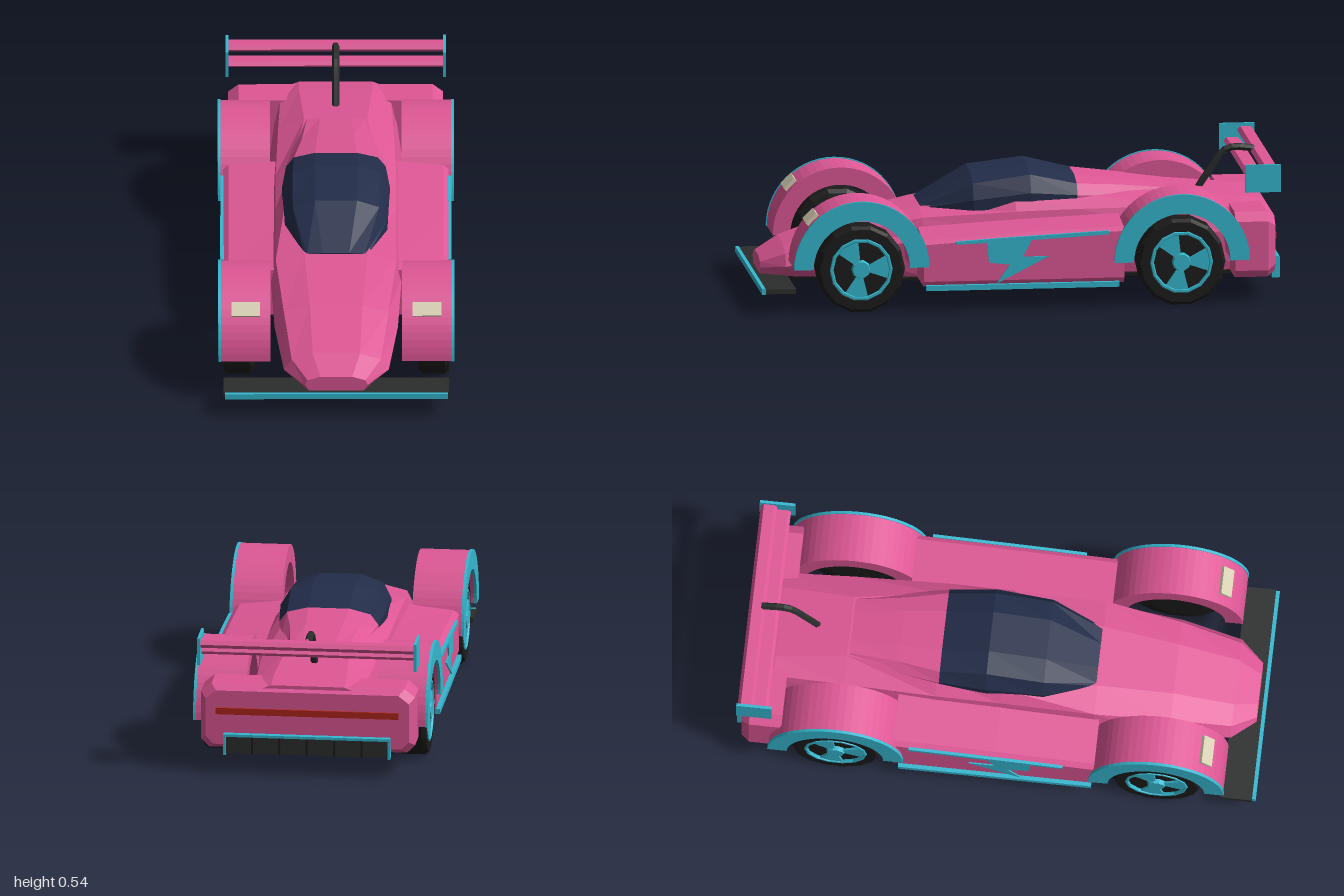
import * as THREE from 'three';

const mat = (name, color) => {
  const m = new THREE.MeshStandardMaterial({ color, flatShading: true });
  m.name = name;
  return m;
};

export function createModel() {
  const pink = mat('pink paint', 0xde5795);
  const teal = mat('teal trim', 0x35b8d0);
  const navy = mat('canopy navy', 0x232d49);
  const black = mat('tyre black', 0x1b1b1b);
  const dark = mat('carbon grey', 0x2b2d2d);
  const cream = mat('headlight cream', 0xd9d1b5);
  const red = mat('tail light red', 0xb0261a);

  const car = new THREE.Group();
  car.name = 'raceCar';
  const add = (name, geometry, material, parent = car) => {
    const mesh = new THREE.Mesh(geometry, material);
    mesh.name = name;
    parent.add(mesh);
    return mesh;
  };

  // Box given by its limits on each axis
  const box = (x0, x1, y0, y1, z0, z1) =>
    new THREE.BoxGeometry(x1 - x0, y1 - y0, z1 - z0)
      .translate((x0 + x1) / 2, (y0 + y1) / 2, (z0 + z1) / 2);

  // Skin over closed rings of [x, y, z], counter-clockwise from the front, ordered front to back
  const loft = (rings) => {
    const pos = [], n = rings[0].length, last = rings[rings.length - 1];
    const tri = (a, b, c) => pos.push(...a, ...b, ...c);
    for (let i = 0; i + 1 < rings.length; i++) {
      for (let j = 0; j < n; j++) {
        const k = (j + 1) % n;
        const a = rings[i][j], b = rings[i][k], c = rings[i + 1][j], d = rings[i + 1][k];
        tri(a, c, b);
        tri(b, c, d);
      }
    }
    for (let j = 1; j + 1 < n; j++) {
      tri(rings[0][0], rings[0][j], rings[0][j + 1]);
      tri(last[0], last[j + 1], last[j]);
    }
    const g = new THREE.BufferGeometry();
    g.setAttribute('position', new THREE.Float32BufferAttribute(pos, 3));
    g.computeVertexNormals();
    return g;
  };
  const flip = (ring) => ring.map(([x, y, z]) => [-x, y, z]).reverse();
  // Symmetric ring from its left half, listed bottom to top
  const whole = (z, half) => {
    const left = half.map(([x, y]) => [x, y, z]);
    return left.concat(flip(left));
  };

  // Outline in (-z, y), extruded along x from x0 by width w, on side s
  const extrudeX = (shape, x0, w, s = 1, curveSegments = 14) =>
    new THREE.ExtrudeGeometry(shape, { depth: w, bevelEnabled: false, curveSegments })
      .rotateY(Math.PI / 2).translate(s > 0 ? x0 : -x0 - w, 0, 0);
  const outline = (pts) => new THREE.Shape(pts.map(([z, y]) => new THREE.Vector2(-z, y)));

  // Main body
  add('body', loft([
    whole(0.97, [[0.1, 0.1], [0.12, 0.13], [0.11, 0.15], [0.06, 0.165]]),
    whole(0.88, [[0.15, 0.1], [0.2, 0.145], [0.17, 0.19], [0.09, 0.215]]),
    whole(0.65, [[0.2, 0.1], [0.235, 0.2], [0.2, 0.27], [0.1, 0.295]]),
    whole(0.36, [[0.22, 0.1], [0.25, 0.25], [0.23, 0.33], [0.12, 0.352]]),
    whole(0, [[0.22, 0.1], [0.25, 0.25], [0.23, 0.345], [0.19, 0.395]]),
    whole(-0.25, [[0.22, 0.1], [0.25, 0.25], [0.23, 0.35], [0.17, 0.4]]),
    whole(-0.6, [[0.22, 0.1], [0.25, 0.25], [0.22, 0.35], [0.12, 0.398]]),
    whole(-0.87, [[0.22, 0.1], [0.23, 0.25], [0.21, 0.34], [0.14, 0.37]]),
    whole(-0.96, [[0.22, 0.1], [0.23, 0.25], [0.2, 0.33], [0.14, 0.355]]),
  ]), pink);
  add('floor', loft([[0.95, 0.11], [0.65, 0.21], [0.36, 0.24], [-0.96, 0.24]]
    .map(([z, w]) => whole(z, [[w, 0.088], [w, 0.099]]))), black);

  // Canopy and the fairing behind it
  const canopyBack = whole(-0.24, [[0.19, 0.36], [0.19, 0.395], [0.16, 0.435], [0.08, 0.455]]);
  add('canopy', loft([
    whole(0.355, [[0.12, 0.32], [0.12, 0.345], [0.11, 0.352], [0.05, 0.356]]),
    whole(0.16, [[0.195, 0.34], [0.195, 0.385], [0.165, 0.445], [0.08, 0.475]]),
    whole(-0.06, [[0.205, 0.36], [0.205, 0.41], [0.165, 0.475], [0.08, 0.5]]),
    canopyBack,
  ]), navy);
  add('rearFairing', loft([
    canopyBack,
    whole(-0.4, [[0.165, 0.35], [0.165, 0.385], [0.13, 0.422], [0.07, 0.437]]),
    whole(-0.59, [[0.125, 0.35], [0.125, 0.38], [0.11, 0.402], [0.06, 0.408]]),
  ]), pink);

  // Tail block, light bar and diffuser
  const tailRing = (z, d) => whole(z, [[0.38 - d, 0.1 + d], [0.41 - d, 0.13 + d],
    [0.41 - d, 0.32 - d], [0.37 - d, 0.352 - d]]);
  add('tailBlock', loft([tailRing(-0.82, 0), tailRing(-0.945, 0), tailRing(-0.975, 0.02)]), pink);
  add('tailLight', box(-0.35, 0.35, 0.24, 0.265, -0.983, -0.97), red);
  add('diffuser', box(-0.31, 0.31, 0.088, 0.16, -0.985, -0.96), dark);
  for (let i = -2; i <= 2; i++) {
    add('diffuserFin', box(i * 0.105 - 0.004, i * 0.105 + 0.004, 0.088, 0.158, -0.997, -0.98), black);
  }
  add('diffuserTrim', box(-0.32, 0.32, 0.156, 0.166, -1, -0.97), teal);

  // Front splitter
  add('splitter', box(-0.43, 0.43, 0.086, 0.104, 0.87, 0.986), dark);
  add('splitterTrim', box(-0.425, 0.425, 0.084, 0.106, 0.986, 1), teal);

  // Rear wing and its swan-neck strut
  const blade = (z0, z1, y, t) => outline([[z0, y], [z0 - 0.012, y - t], [z1 + 0.012, y - t],
    [z1, y], [z1 + 0.012, y + t], [z0 - 0.012, y + t]].reverse());
  add('upperWing', extrudeX(blade(-0.925, -0.988, 0.515, 0.015), -0.41, 0.82), pink);
  add('lowerWing', extrudeX(blade(-0.872, -0.94, 0.475, 0.013), -0.41, 0.82), pink);
  const strutPath = new THREE.CatmullRomCurve3([[0.34, -0.7], [0.44, -0.765], [0.52, -0.825],
    [0.532, -0.86], [0.525, -0.94]].map(([y, z]) => new THREE.Vector3(0, y, z)));
  add('wingStrut', new THREE.TubeGeometry(strutPath, 12, 0.014, 6), dark);

  // Arch outline around a wheel
  const arch = (z, R, r) => {
    const s = new THREE.Shape();
    s.absarc(-z, 0.18, R, 0, Math.PI, false);
    s.absarc(-z, 0.18, r, Math.PI, 0, true);
    return s;
  };

  // Wheel facing +x
  const makeWheel = () => {
    const wheel = new THREE.Group();
    wheel.name = 'wheel';
    const profile = [[0, -0.065], [0.1, -0.065], [0.155, -0.055], [0.17, -0.042], [0.17, 0.045],
      [0.158, 0.06], [0.122, 0.06], [0.115, 0.05], [0, 0.05]].map(([r, x]) => new THREE.Vector2(r, x));
    add('tyre', new THREE.LatheGeometry(profile, 14).rotateZ(-Math.PI / 2), black, wheel);
    add('rimRing', new THREE.TorusGeometry(0.114, 0.008, 6, 14).rotateY(Math.PI / 2)
      .translate(0.056, 0, 0), teal, wheel);
    add('hub', new THREE.CylinderGeometry(0.032, 0.038, 0.02, 10).rotateZ(-Math.PI / 2)
      .translate(0.057, 0, 0), teal, wheel);
    for (const deg of [5, 120, 260]) {
      const a = THREE.MathUtils.degToRad(deg), s = new THREE.Shape();
      s.absarc(0, 0, 0.113, a - 0.42, a + 0.42, false);
      s.absarc(0, 0, 0.025, a + 0.42, a - 0.42, true);
      add('spoke', extrudeX(s, 0.045, 0.014, 1, 5), teal, wheel);
    }
    return wheel;
  };

  for (const s of [1, -1]) {
    const span = (a, b) => (s > 0 ? [a, b] : [-b, -a]);

    // Wheels and arches
    for (const z of [0.62, -0.61]) {
      const wheel = makeWheel();
      wheel.position.set(s * 0.37, 0.173, z);
      if (s < 0) wheel.rotation.y = Math.PI;
      car.add(wheel);
      add('fender', extrudeX(arch(z, 0.257, 0.19), 0.25, 0.19, s), pink);
      add('fenderTrim', extrudeX(arch(z, 0.26, 0.185), 0.439, 0.011, s), teal);
    }

    // Headlight on the front arch
    const lamp = add('headlight', new THREE.BoxGeometry(0.11, 0.055, 0.022), cream);
    lamp.position.set(s * 0.345, 0.364, 0.802);
    lamp.rotation.x = -Math.PI / 4;

    // Side pod with skirt, stripe and bolt decal
    const podRing = (z, yo, yi) => {
      const ring = [[0.2, 0.1, z], [0.42, 0.1, z], [0.43, 0.12, z], [0.43, yo, z],
        [0.41, yo + 0.015, z], [0.2, yi, z]];
      return s > 0 ? ring : flip(ring);
    };
    add('sidePod', loft([podRing(0.38, 0.262, 0.3), podRing(0, 0.285, 0.32),
      podRing(-0.39, 0.3, 0.335)]), pink);
    add('sideSkirt', box(...span(0.415, 0.441), 0.086, 0.106, -0.37, 0.37), teal);
    add('podStripe', extrudeX(outline([[0.26, 0.264], [0.1, 0.268], [-0.33, 0.29], [-0.33, 0.304],
      [0.1, 0.284], [0.26, 0.274]]), 0.428, 0.012, s), teal);
    add('boltDecal', extrudeX(outline([[0.14, 0.28], [0.13, 0.19], [0.05, 0.18], [0.1, 0.108],
      [-0.1, 0.21], [0, 0.21], [-0.04, 0.285]]), 0.429, 0.006, s), teal);

    // Wing end plate and diffuser end plate
    add('wingEndPlate', box(...span(0.409, 0.42), 0.435, 0.542, -0.992, -0.856), teal);
    add('diffuserEndPlate', box(...span(0.31, 0.32), 0.084, 0.166, -1, -0.97), teal);
  }
  return car;
}
